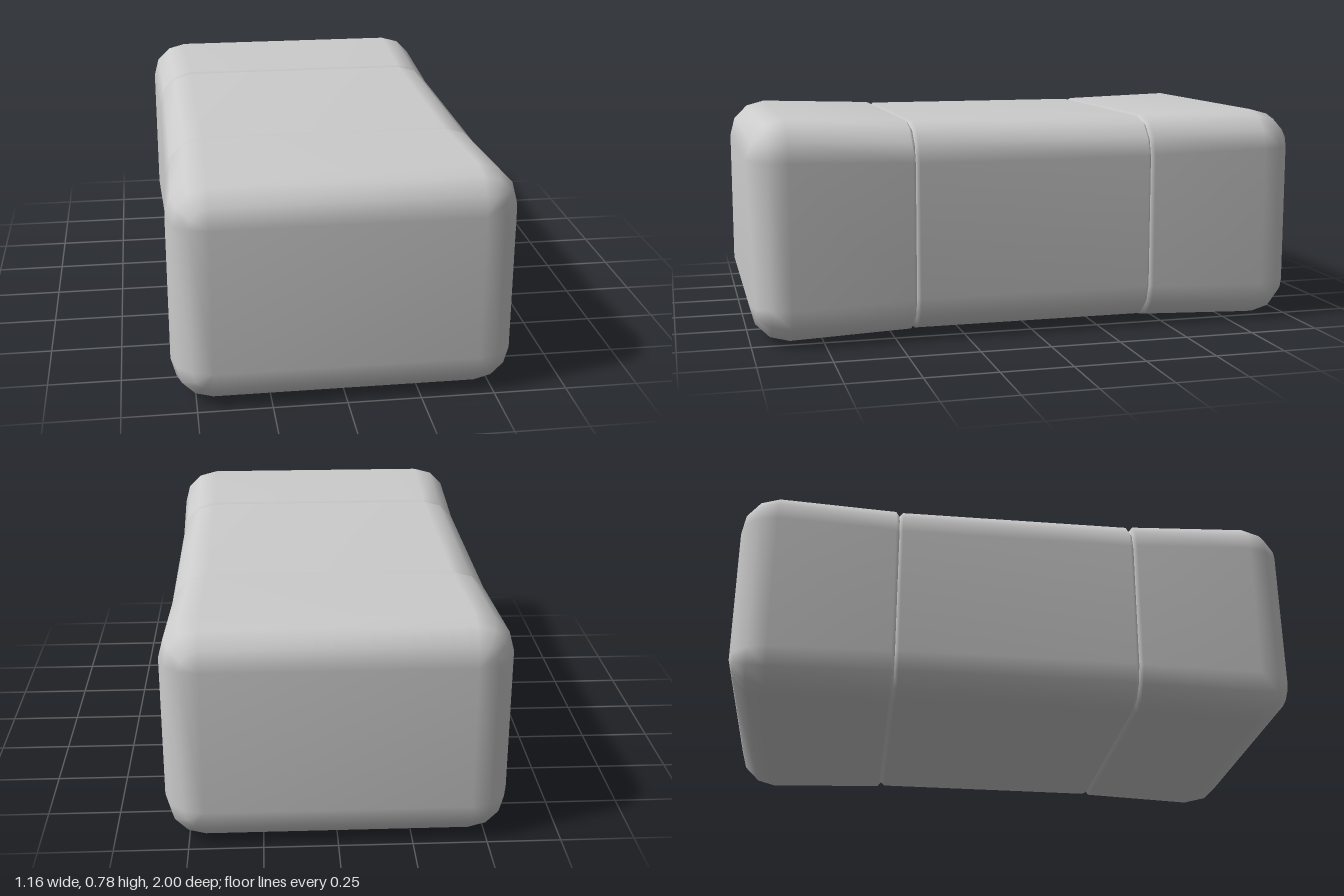
import * as THREE from 'three';
import { mergeVertices } from 'three/addons/utils/BufferGeometryUtils.js';

const CENTER_Y = 0.388;
const CORNER_STEPS = 3;

// Rounded rectangle ring, counter-clockwise seen from +z
function ring(z, halfW, halfH, radius) {
  const points = [];
  [[1, 1], [-1, 1], [-1, -1], [1, -1]].forEach(([sx, sy], corner) => {
    for (let i = 0; i <= CORNER_STEPS; i++) {
      const a = (corner + i / CORNER_STEPS) * Math.PI / 2;
      points.push([
        sx * (halfW - radius) + radius * Math.cos(a),
        sy * (halfH - radius) + radius * Math.sin(a),
        z,
      ]);
    }
  });
  return points;
}

// Skin over rings ordered by rising z, optionally closed at the last ring
function loft(sections, closeEnd) {
  const rings = sections.map((s) => ring(...s));
  const n = rings[0].length;
  const positions = rings.flat(2);
  const index = [];
  for (let i = 0; i < rings.length - 1; i++) {
    for (let j = 0; j < n; j++) {
      const k = (j + 1) % n;
      const a = i * n + j, b = i * n + k, c = b + n, d = a + n;
      index.push(a, b, c, a, c, d);
    }
  }
  if (closeEnd) {
    const last = (rings.length - 1) * n;
    const center = positions.length / 3;
    positions.push(0, 0, sections[sections.length - 1][0]);
    for (let j = 0; j < n; j++) index.push(center, last + j, last + (j + 1) % n);
  }
  const raw = new THREE.BufferGeometry();
  raw.setAttribute('position', new THREE.Float32BufferAttribute(positions, 3));
  raw.setIndex(index);
  const geometry = mergeVertices(raw, 1e-5);
  geometry.computeVertexNormals();
  return geometry;
}

export function createModel() {
  const group = new THREE.Group();
  group.name = 'segmentedBlock';
  const material = new THREE.MeshStandardMaterial({ color: 0xcccccc });

  const addPart = (name, geometry, turn = 0) => {
    const mesh = new THREE.Mesh(geometry, material);
    mesh.name = name;
    mesh.position.y = CENTER_Y;
    mesh.rotation.y = turn;
    group.add(mesh);
  };

  // Middle block, drawn in slightly where it meets the end blocks
  const groove = [0.552, 0.36, 0.125];
  const body = [0.567, 0.372, 0.135];
  addPart('middleBlock', loft([
    [-0.43, ...groove], [-0.417, ...body], [0.417, ...body], [0.43, ...groove],
  ], false));

  // End blocks flare outwards, then round over to a flat face
  const r = 0.136;
  const endSections = [[0.43, ...groove], [0.443, 0.567, 0.375, 0.135]];
  for (let i = 0; i <= CORNER_STEPS; i++) {
    const a = (i / CORNER_STEPS) * Math.PI / 2;
    const cr = Math.max(r * Math.cos(a), 0);
    endSections.push([1 - r + r * Math.sin(a), 0.58 - r + cr, 0.388 - r + cr, cr]);
  }
  const endGeometry = loft(endSections, true);
  addPart('frontBlock', endGeometry);
  addPart('backBlock', endGeometry, Math.PI);

  return group;
}
